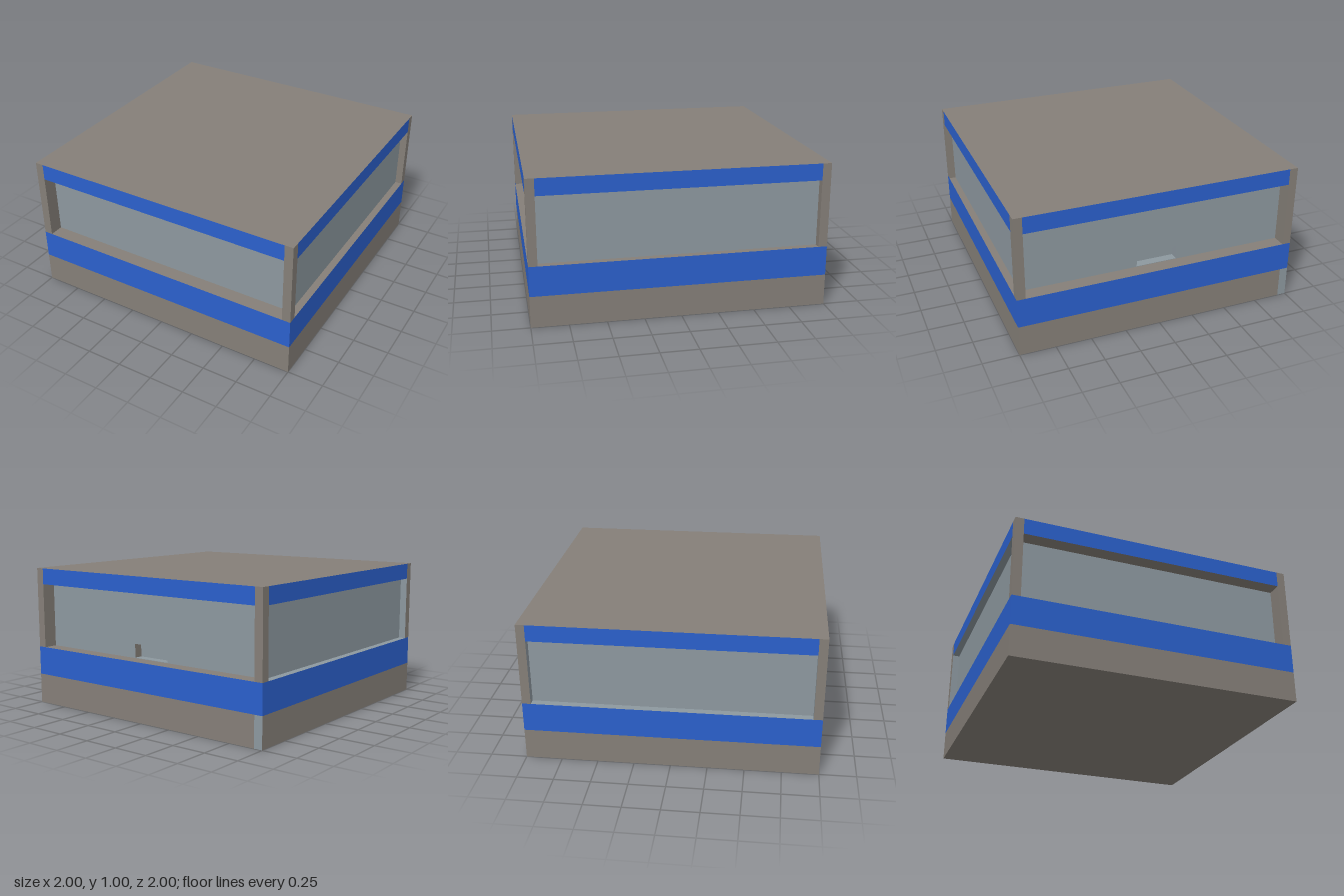
import * as THREE from 'three';

export function createModel() {
  const model = new THREE.Group();
  const colour = (name, hex) => {
    const m = new THREE.MeshStandardMaterial({ color: hex });
    m.name = name;
    return m;
  };
  const stone = colour('stone grey', 0x857f78);
  const blue = colour('band blue', 0x2b60cc);
  const panel = colour('panel blue grey', 0x8d989f);

  // Box between two corners; faces overrides the colour of single sides
  const sides = ['px', 'nx', 'py', 'ny', 'pz', 'nz'];
  function box(name, [x0, y0, z0], [x1, y1, z1], mat, faces = {}) {
    const g = new THREE.BoxGeometry(x1 - x0, y1 - y0, z1 - z0);
    const mesh = new THREE.Mesh(g, sides.map((s) => faces[s] || mat));
    mesh.position.set((x0 + x1) / 2, (y0 + y1) / 2, (z0 + z1) / 2);
    mesh.name = name;
    model.add(mesh);
  }

  const o = 0.94;                    // half width of the openings
  const yBand = 0.215, yLedge = 0.42, yHead = 0.885;
  const zFront = 0.9, zNiche = -0.84, xSide = 0.95;

  // Plinth and blue band, with a separate wall strip along -x
  box('plinth', [-o, 0, -1], [1, yBand, 1], stone);
  box('plinthSideWall', [-1, 0, -1], [-o, yBand, 1], stone, { nz: panel });
  box('blueBand', [-o, yBand, -1], [1, yLedge, 1], blue, { py: stone });
  box('blueBandSideWall', [-1, yBand, -1], [-o, yLedge, 1], blue, { py: panel });

  // Corner posts
  for (const sx of [-1, 1]) for (const sz of [-1, 1]) {
    const x = sx < 0 ? [-1, -o] : [o, 1];
    const z = sz < 0 ? [-1, -o] : [o, 1];
    const jamb = sx < 0 ? { [sz < 0 ? 'pz' : 'nz']: panel } : {};
    box('cornerPost', [x[0], yLedge, z[0]], [x[1], 1, z[1]], stone, jamb);
  }

  // Roof slab with blue fascias between the posts
  box('roof', [-o, yHead, -1], [o, 1, 1], stone, { pz: blue, nz: blue });
  box('roofEdgeLeft', [o, yHead, -o], [1, 1, o], stone, { px: blue });
  box('roofEdgeRight', [-1, yHead, -o], [-o, 1, o], stone, { nx: blue, ny: panel });

  // Recessed wall panels
  box('wallCore', [-o, yLedge, zNiche], [o, yHead, zFront], panel);
  box('sidePanelLeft', [o, yLedge, -o], [xSide, yHead, o], stone, { px: panel });
  box('sidePanelRight', [-xSide, yLedge, -o], [-o, yHead, o], stone, { nx: panel });

  // Back panel around a small niche at the ledge
  const n0 = -0.157, n1 = 0.134, yNiche = 0.52;
  box('backPanelRight', [-o, yLedge, -zFront], [n0, yHead, zNiche], panel);
  box('backPanelLeft', [n1, yLedge, -zFront], [o, yHead, zNiche], panel, { nx: stone });
  box('backPanelTop', [n0, yNiche, -zFront], [n1, yHead, zNiche], panel, { ny: stone });
  box('nicheFloor', [n0, yLedge, -zFront], [n1, yLedge + 0.003, zNiche], panel);

  return model;
}
